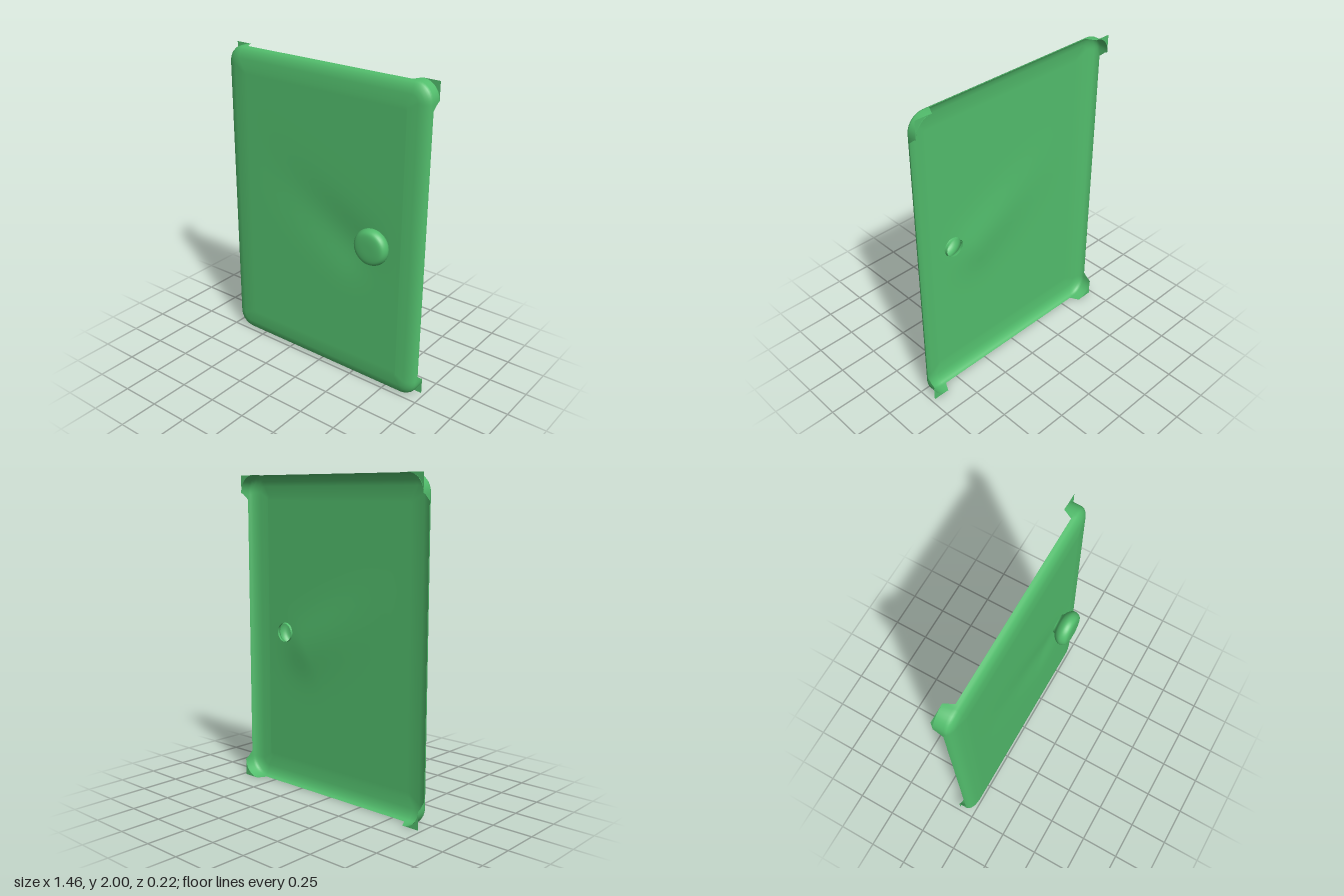
import * as THREE from 'three';

const HALF_W = 0.728, HALF_H = 1, RADIUS = 0.11;
const KNOB = new THREE.Vector2(0.435, 1.0), NECK = 0.06;
const RIM_Z = -0.05, CORNER_Z = -0.108;

// Rounded rectangle, counter-clockwise; c tells how much a point belongs to a corner
function outline(inset) {
  const w = HALF_W - inset, h = HALF_H - inset, r = Math.max(RADIUS - inset, 0.015);
  const arcSteps = 10, sideSteps = 20, pts = [];
  const signs = [[1, 1], [-1, 1], [-1, -1], [1, -1]];
  const arcPoint = (k, a) => [
    signs[k][0] * (w - r) + r * Math.cos(a), 1 + signs[k][1] * (h - r) + r * Math.sin(a)];
  signs.forEach((s, k) => {
    for (let i = 0; i <= arcSteps; i++) {
      const [x, y] = arcPoint(k, (k + i / arcSteps) * Math.PI / 2);
      pts.push({ x, y, c: 1 });
    }
    const a = arcPoint(k, (k + 1) * Math.PI / 2), b = arcPoint((k + 1) % 4, (k + 1) * Math.PI / 2);
    for (let i = 1; i < sideSteps; i++) {
      // points gather near the corners
      const t = (1 - Math.cos(Math.PI * i / sideSteps)) / 2;
      const d = Math.min(t, 1 - t) * Math.hypot(b[0] - a[0], b[1] - a[1]);
      pts.push({ x: a[0] + (b[0] - a[0]) * t, y: a[1] + (b[1] - a[1]) * t, c: Math.max(0, 1 - d / 0.03) });
    }
  });
  return pts;
}

// Shallow dent running from below the knob up to the far side
function dent(x, y) {
  const u = (x - 0.25) * 0.86 - (y - 0.92) * 0.5;
  const v = (x - 0.25) * 0.5 + (y - 0.92) * 0.86;
  const along = u < 0 ? 0.5 : 0.16;
  return -0.017 * Math.exp(-((u / along) ** 2) - (v / 0.17) ** 2);
}

// Door skin built in rings from the knob hole out to the curled rim
function doorGeometry() {
  const rings = [], edge = outline(0.13), steps = 28;
  for (let i = 0; i <= steps; i++) {
    const t = i / steps;
    rings.push(edge.map((p) => {
      const a = Math.atan2(p.y - KNOB.y, p.x - KNOB.x);
      const x = THREE.MathUtils.lerp(KNOB.x + NECK * Math.cos(a), p.x, t);
      const y = THREE.MathUtils.lerp(KNOB.y + NECK * Math.sin(a), p.y, t);
      return [x, y, dent(x, y) * Math.min(1, (1 - t) * 5)];
    }));
  }
  for (const [inset, z] of [[0.07, -0.005], [0.04, -0.012], [0.018, -0.023], [0.006, -0.035], [0, RIM_Z]]) {
    rings.push(outline(inset).map((p) => [p.x, p.y, z]));
  }
  // the rim reaches further back at the corners
  rings.push(outline(0).map((p) => [p.x, p.y, RIM_Z - 0.002 + (CORNER_Z - RIM_Z) * p.c]));

  const n = edge.length, index = [];
  for (let i = 0; i < rings.length - 1; i++) {
    for (let j = 0; j < n; j++) {
      const k = (j + 1) % n, a = i * n + j, b = i * n + k;
      index.push(a, a + n, b + n, a, b + n, b);
    }
  }
  const geo = new THREE.BufferGeometry();
  geo.setAttribute('position', new THREE.Float32BufferAttribute(rings.flat(2), 3));
  geo.setIndex(index);
  geo.computeVertexNormals();
  return geo;
}

export function createModel() {
  const group = new THREE.Group();
  const green = new THREE.MeshStandardMaterial({ color: 0x52bd6c, side: THREE.DoubleSide });
  green.name = 'green';
  const add = (geo, name) => {
    const mesh = new THREE.Mesh(geo, green);
    mesh.name = name;
    group.add(mesh);
    return mesh;
  };

  add(doorGeometry(), 'doorPanel');

  // Flat flaps filling the square corners behind the rounded rim
  for (const sx of [1, -1]) {
    for (const sy of [1, -1]) {
      const shape = new THREE.Shape();
      const cx = HALF_W - RADIUS, cy = HALF_H - RADIUS;
      shape.moveTo(sx * HALF_W, sy * HALF_H);
      shape.lineTo(sx * HALF_W, sy * (cy - 0.02));
      for (let i = 0; i <= 10; i++) {
        const a = i / 10 * Math.PI / 2;
        shape.lineTo(sx * (cx + RADIUS * Math.cos(a)), sy * (cy + RADIUS * Math.sin(a)));
      }
      shape.closePath();
      add(new THREE.ShapeGeometry(shape), 'cornerFlap').position.set(0, 1, CORNER_Z);
    }
  }

  // Hollow mushroom knob, open at the back
  const curve = new THREE.SplineCurve([
    [NECK, -0.02], [0.066, 0.004], [0.095, 0.025], [0.113, 0.053],
    [0.111, 0.08], [0.094, 0.101], [0.055, 0.108], [0, 0.109],
  ].map(([r, z]) => new THREE.Vector2(r, z)));
  const profile = curve.getPoints(28);
  profile.forEach((p) => { p.x = Math.max(p.x, 0); });
  const knob = add(new THREE.LatheGeometry(profile, 40), 'knob');
  knob.rotation.x = Math.PI / 2;
  knob.position.set(KNOB.x, KNOB.y, 0);

  return group;
}
